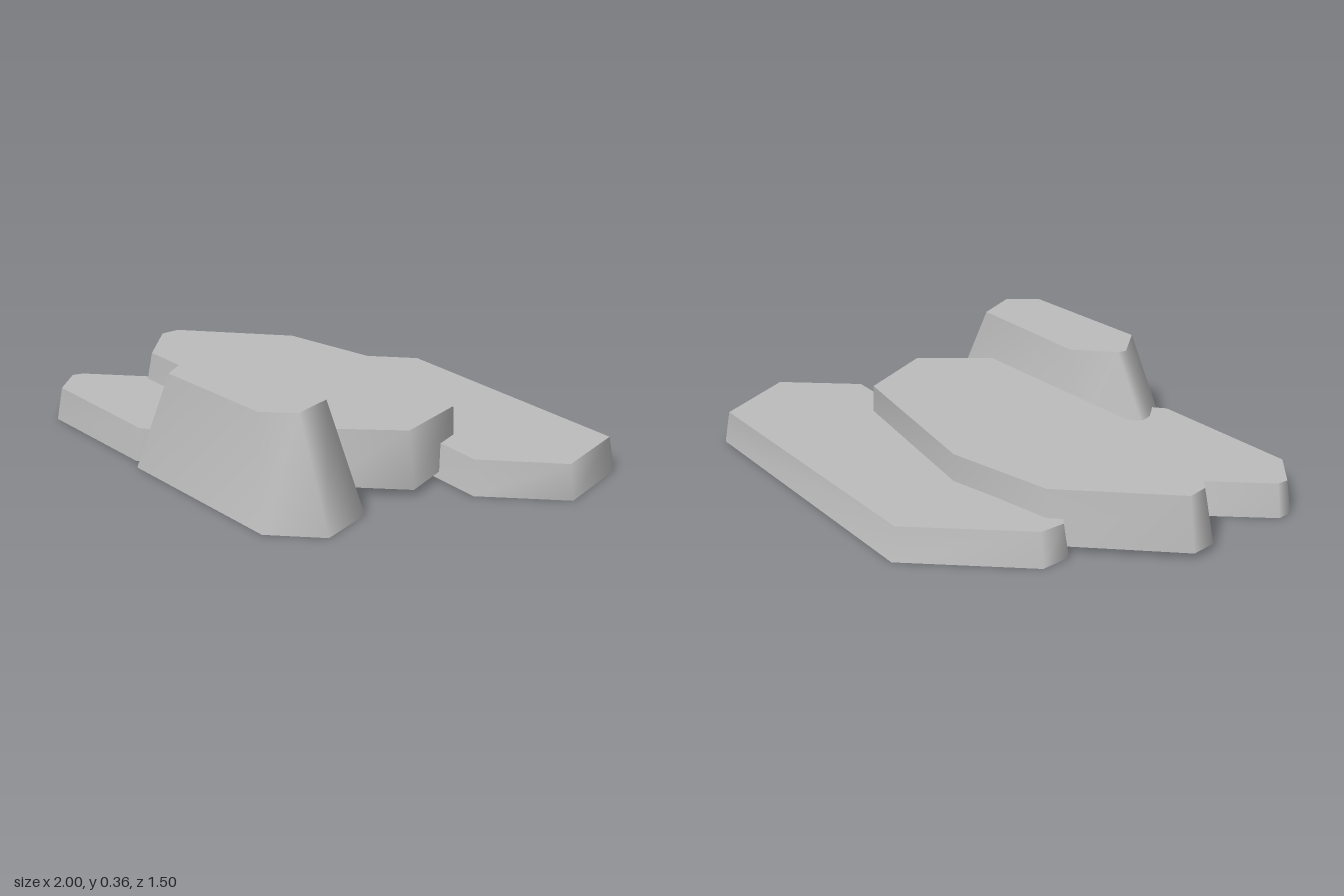
import * as THREE from 'three';

const stone = new THREE.MeshStandardMaterial({ color: 0xbcbcbc, side: THREE.DoubleSide });
stone.name = 'grey stone';

// Outlines are [x, z] corners, clockwise as seen from above; base and top pair up.
const slabs = [
  {
    name: 'backSlab', y0: 0, y1: 0.12,
    base: [[0.015, -0.755], [1, -0.33], [0.99, -0.01], [0.7, 0.13], [-0.4, -0.34], [-0.47, -0.46], [-0.43, -0.56]],
    top: [[0.015, -0.73], [0.98, -0.32], [0.97, -0.02], [0.69, 0.11], [-0.39, -0.36], [-0.45, -0.46], [-0.41, -0.54]],
  },
  {
    name: 'middleSlab', y0: 0.025, y1: 0.22,
    base: [[-0.83, -0.285], [-0.39, -0.465], [0, -0.385], [0.53, -0.06], [0.54, 0.24], [0.26, 0.378], [-0.73, 0.04], [-0.86, -0.2]],
    top: [[-0.8, -0.27], [-0.38, -0.445], [0, -0.38], [0.52, -0.06], [0.51, 0.225], [0.26, 0.36], [-0.7, 0.02], [-0.82, -0.2]],
  },
  {
    name: 'lowSlab', y0: 0, y1: 0.12,
    base: [[-1, 0.15], [-0.98, 0.1], [-0.72, -0.02], [-0.42, 0.05], [-0.05, 0.28], [-0.05, 0.4], [-0.34, 0.44], [-0.42, 0.475], [-0.93, 0.3]],
    top: [[-0.98, 0.15], [-0.96, 0.115], [-0.71, 0], [-0.42, 0.07], [-0.07, 0.29], [-0.07, 0.4], [-0.33, 0.44], [-0.41, 0.465], [-0.915, 0.285]],
  },
  {
    name: 'tallRock', y0: 0, y1: 0.36,
    base: [[-0.43, 0.38], [-0.42, 0.32], [-0.14, 0.2], [0.48, 0.45], [0.477, 0.66], [0.29, 0.75], [-0.38, 0.52]],
    top: [[-0.28, 0.37], [-0.26, 0.345], [-0.1, 0.285], [0.335, 0.45], [0.33, 0.6], [0.22, 0.66], [-0.24, 0.51]],
  },
];

// Smooth tapered wall between the two outlines, open underneath
function wallGeometry({ base, top, y0, y1 }) {
  const n = base.length;
  const positions = [];
  const index = [];
  base.forEach(([x, z]) => positions.push(x, y0, z));
  top.forEach(([x, z]) => positions.push(x, y1, z));
  for (let i = 0; i < n; i++) {
    const j = (i + 1) % n;
    index.push(j, i, n + i, j, n + i, n + j);
  }
  const geometry = new THREE.BufferGeometry();
  geometry.setAttribute('position', new THREE.Float32BufferAttribute(positions, 3));
  geometry.setIndex(index);
  geometry.computeVertexNormals();
  return geometry;
}

// Flat upper face
function topGeometry({ top, y1 }) {
  const shape = new THREE.Shape(top.map(([x, z]) => new THREE.Vector2(x, -z)));
  return new THREE.ShapeGeometry(shape).rotateX(-Math.PI / 2).translate(0, y1, 0);
}

export function createModel() {
  const model = new THREE.Group();
  model.name = 'rockSlabs';
  for (const slab of slabs) {
    const group = new THREE.Group();
    group.name = slab.name;
    const wall = new THREE.Mesh(wallGeometry(slab), stone);
    wall.name = slab.name + 'Wall';
    const face = new THREE.Mesh(topGeometry(slab), stone);
    face.name = slab.name + 'Top';
    group.add(wall, face);
    model.add(group);
  }
  return model;
}
